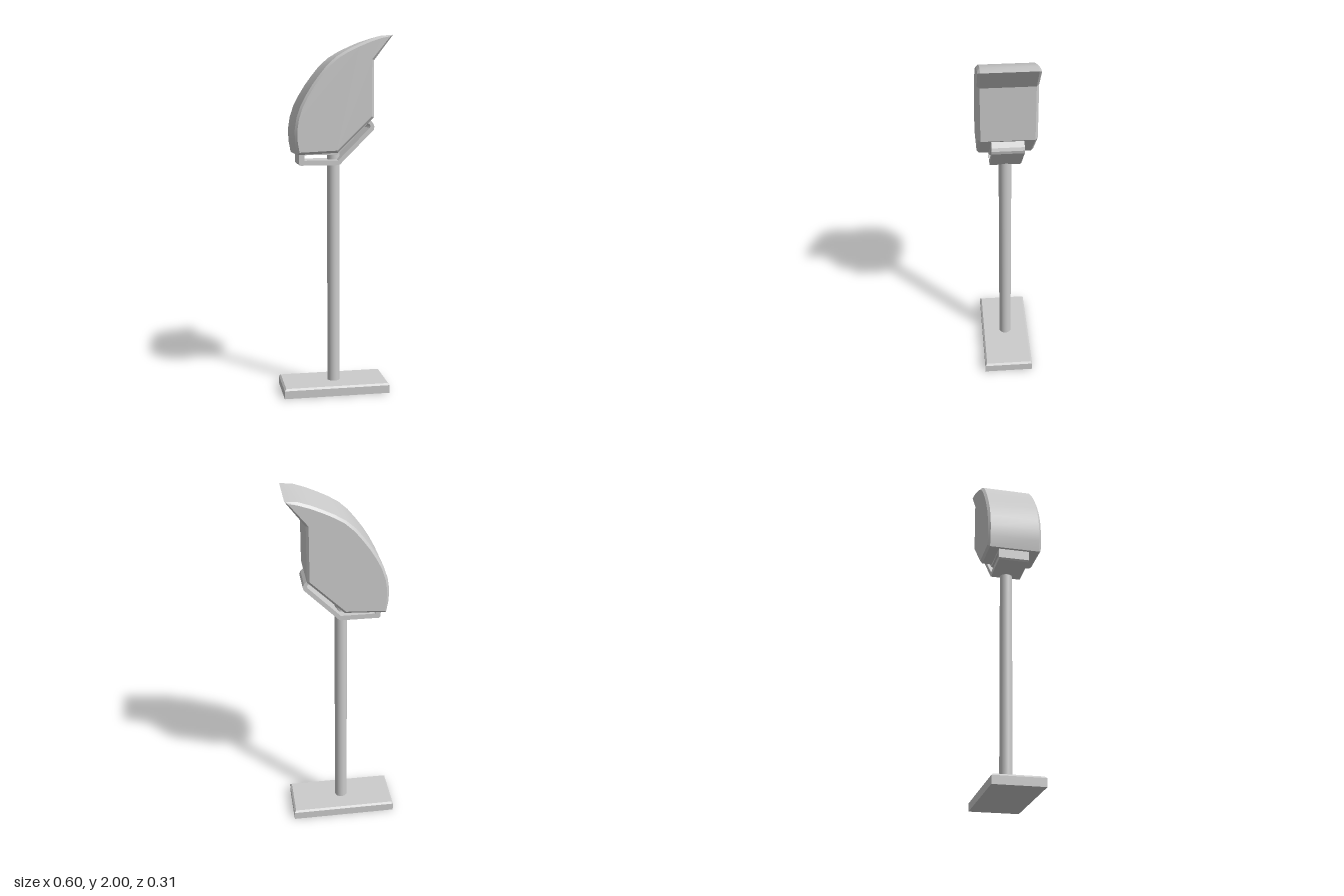
import * as THREE from 'three';
import { toCreasedNormals } from 'three/addons/utils/BufferGeometryUtils.js';

const material = new THREE.MeshStandardMaterial({ color: 0xcccccc });
const toPoints = (list) => list.map(([x, y]) => new THREE.Vector2(x, y));

// Extrude a side profile along z, centred on z = 0, with optional inset chamfers
function slab(shape, depth, chamfer = 0) {
  const geometry = new THREE.ExtrudeGeometry(shape, {
    depth: depth - 2 * chamfer,
    bevelEnabled: chamfer > 0,
    bevelSize: chamfer,
    bevelThickness: chamfer,
    bevelOffset: -chamfer,
    bevelSegments: 1,
  });
  return geometry.translate(0, 0, chamfer - depth / 2);
}

export function createModel() {
  const group = new THREE.Group();
  const add = (name, geometry) => {
    const mesh = new THREE.Mesh(geometry, material);
    mesh.name = name;
    group.add(mesh);
  };

  // Base plate: chamfered on the top edges only
  const [bx, bz, chamfer, height] = [0.3, 0.14, 0.01, 0.055];
  const rect = new THREE.Shape(toPoints([[-bx, -bz], [bx, -bz], [bx, bz], [-bx, bz]]));
  const base = slab(rect, height, chamfer).rotateX(-Math.PI / 2).translate(0, height / 2, 0);
  const pos = base.attributes.position;
  for (let i = 0; i < pos.count; i++) {
    if (pos.getY(i) < 0.001) {
      pos.setX(i, Math.sign(pos.getX(i)) * bx);
      pos.setZ(i, Math.sign(pos.getZ(i)) * bz);
    }
  }
  base.computeVertexNormals();
  add('basePlate', base);

  // Pole
  add('pole', new THREE.CylinderGeometry(0.035, 0.035, 1.33, 32).translate(0, 0.715, 0));

  // Closed strap bracket under the hood, bent to follow its lower edge
  const strap = new THREE.Shape(toPoints([
    [-0.205, 1.372], [-0.205, 1.307], [-0.197, 1.298], [0.012, 1.298], [0.022, 1.302],
    [0.21, 1.49], [0.214, 1.508], [0.207, 1.525], [0.182, 1.553], [0, 1.378],
  ]));
  strap.holes.push(new THREE.Path(toPoints([
    [-0.175, 1.355], [0.005, 1.355], [0.176, 1.525], [0.186, 1.52], [0.192, 1.51],
    [0.188, 1.501], [0.012, 1.325], [-0.175, 1.325],
  ])));
  add('bracket', slab(strap, 0.17));

  // Short post joining the pole to the hood through the bracket
  add('post', new THREE.CylinderGeometry(0.033, 0.033, 0.1, 32).translate(0, 1.355, 0));

  // Hood: curved back sweeping up to a pointed peak, chamfered sides
  const back = new THREE.SplineCurve(toPoints([
    [0.3, 2], [0.2, 1.985], [0, 1.89], [-0.11, 1.775], [-0.19, 1.65],
    [-0.225, 1.56], [-0.237, 1.46], [-0.222, 1.36],
  ])).getSpacedPoints(14);
  const hood = new THREE.Shape([
    ...back,
    ...toPoints([[0, 1.37], [0.197, 1.56], [0.197, 1.865]]),
  ]);
  add('hood', toCreasedNormals(slab(hood, 0.306, 0.013), 0.3));

  return group;
}
